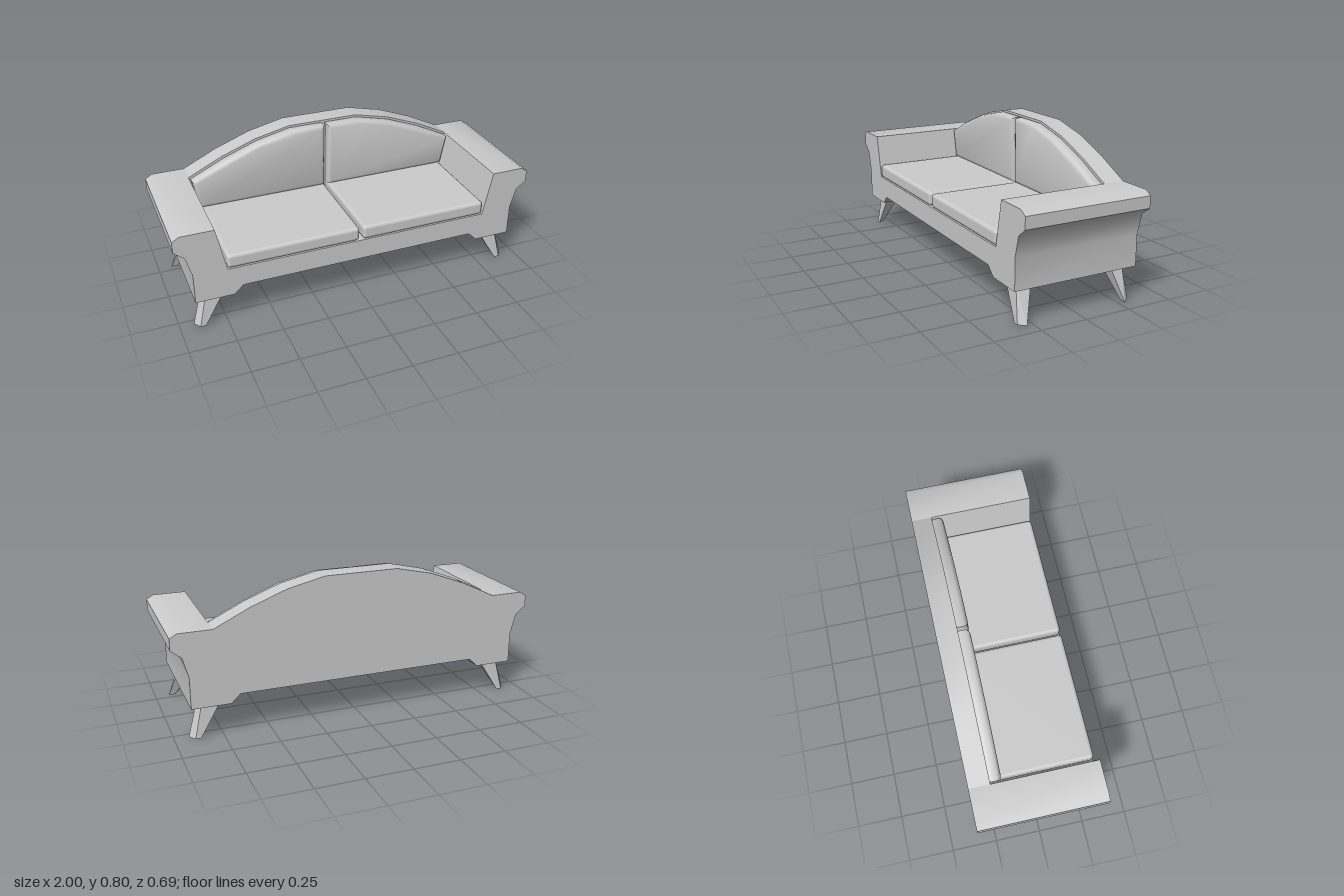
import * as THREE from 'three';
import { toCreasedNormals } from 'three/addons/utils/BufferGeometryUtils.js';
import { RoundedBoxGeometry } from 'three/addons/geometries/RoundedBoxGeometry.js';

const FRONT = 0.347, BACK = -0.347, BACKREST = -0.232;
const material = new THREE.MeshStandardMaterial({ color: 0xcccccc });

function addMesh(group, name, geometry) {
  const mesh = new THREE.Mesh(geometry, material);
  mesh.name = name;
  group.add(mesh);
}

const toShape = (points) => new THREE.Shape(points.map(([x, y]) => new THREE.Vector2(x, y)));

// Mirrors a half outline, given from one end to the other, across x = 0
const mirrored = (half) => [...half, ...half.slice().reverse().map(([x, y]) => [-x, y])];

// Extrudes a profile from z0 to z1, with an optional bevel inside its outline
function extrude(points, z0, z1, bevel = 0) {
  const geometry = new THREE.ExtrudeGeometry(toShape(points), {
    depth: z1 - z0 - 2 * bevel,
    bevelEnabled: bevel > 0,
    bevelThickness: bevel,
    bevelSize: bevel,
    bevelOffset: -bevel,
    bevelSegments: 2,
  });
  geometry.translate(0, 0, z0 + bevel);
  return toCreasedNormals(geometry, 0.9);
}

// Tapered, splayed leg from four top and four bottom corners
function legGeometry(sx, sz) {
  const top = [[0.757, 0.305], [0.855, 0.305], [0.863, 0.23], [0.765, 0.23]];
  const foot = [[0.868, 0.32], [0.897, 0.32], [0.925, 0.283], [0.89, 0.283]];
  const positions = [];
  for (const [ring, y] of [[top, 0.18], [foot, 0]]) {
    for (const [x, z] of ring) positions.push(x * sx, y, z * sz);
  }
  const index = [0, 1, 2, 0, 2, 3, 4, 6, 5, 4, 7, 6];
  for (let i = 0; i < 4; i++) {
    const j = (i + 1) % 4;
    index.push(i, 4 + i, 4 + j, i, 4 + j, j);
  }
  // Mirroring on one axis reverses the faces
  if (sx * sz < 0) index.reverse();
  const geometry = new THREE.BufferGeometry();
  geometry.setAttribute('position', new THREE.Float32BufferAttribute(positions, 3));
  geometry.setIndex(index);
  return toCreasedNormals(geometry, 0.3);
}

export function createModel() {
  const sofa = new THREE.Group();
  sofa.name = 'sofa';

  // Base and flared arms in one profile
  const frame = mirrored([
    [0.66, 0.225], [0.71, 0.178], [0.915, 0.178], [0.915, 0.345], [0.945, 0.457],
    [1, 0.5], [1, 0.563], [0.963, 0.585], [0.785, 0.585], [0.735, 0.34],
  ]);
  addMesh(sofa, 'frameWithArms', extrude(frame, BACK, FRONT));

  // Arched backrest between the arms
  const backrest = mirrored([
    [0.735, 0.34], [0.785, 0.585], [0.596, 0.676], [0.4, 0.75], [0.2, 0.796],
  ]);
  addMesh(sofa, 'backrest', extrude(backrest, BACK, BACKREST));

  for (const side of [1, -1]) {
    const label = side > 0 ? 'left' : 'right';

    // Seat cushion
    const seat = new RoundedBoxGeometry(0.725, 0.08, FRONT - BACKREST + 0.011, 2, 0.02);
    seat.translate(side * 0.3725, 0.379, (FRONT + BACKREST - 0.009) / 2);
    addMesh(sofa, label + 'SeatCushion', seat);

    // Bevelled back cushion following the arch
    const cushion = [
      [0.01, 0.413], [0.742, 0.413], [0.775, 0.578], [0.59, 0.667],
      [0.397, 0.741], [0.2, 0.787], [0.01, 0.787],
    ].map(([x, y]) => [side * x, y]);
    addMesh(sofa, label + 'BackCushion', extrude(cushion, -0.245, -0.169, 0.022));

    // Legs
    addMesh(sofa, label + 'FrontLeg', legGeometry(side, 1));
    addMesh(sofa, label + 'BackLeg', legGeometry(side, -1));
  }
  return sofa;
}
